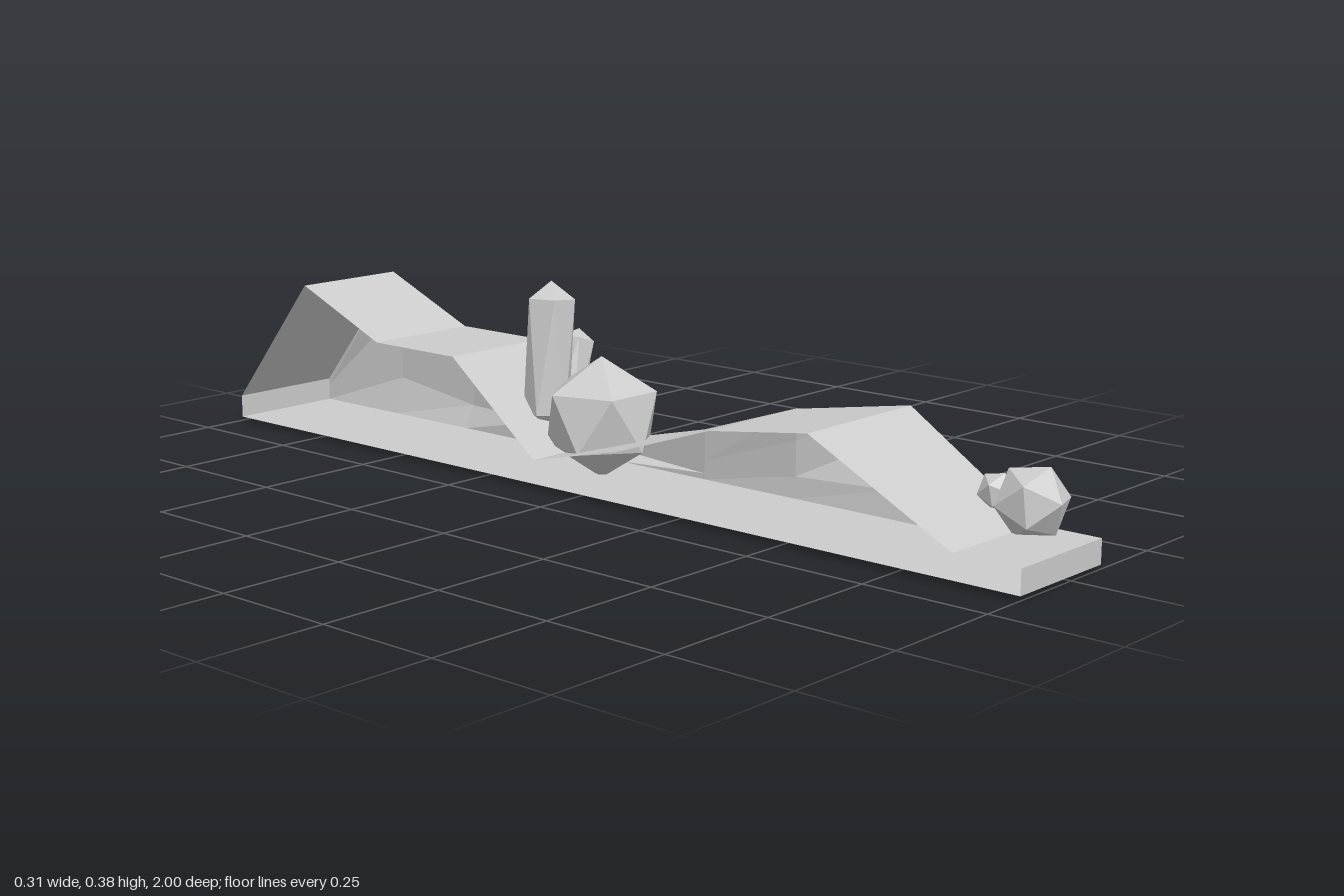
import * as THREE from 'three';

const material = () => new THREE.MeshStandardMaterial({
  color: 0xcccccc, flatShading: true, side: THREE.DoubleSide,
});

const LEFT = -0.155, RIGHT = 0.095, BASE = 0.008;

// Sections from front to back: z, top edge [x, y], then two bulging side points [x, y]
const SECTIONS = [
  [1, [0.095, 0.055], [0.095, 0.04], [0.095, 0.022]],
  [0.865, [0.095, 0.055], [0.097, 0.04], [0.097, 0.022]],
  [0.556, [0.153, 0.212], [0.153, 0.163], [0.105, 0.06]],
  [0.333, [0.095, 0.182], [0.1, 0.12], [0.1, 0.05]],
  [0.111, [0.095, 0.108], [0.095, 0.045], [0.095, 0.02]],
  [-0.111, [0.095, 0.055], [0.128, 0.043], [0.128, 0.02]],
  [-0.333, [0.095, 0.23], [0.095, 0.15], [0.095, 0.055]],
  [-0.556, [0.095, 0.23], [0.119, 0.2], [0.117, 0.055]],
  [-0.778, [0.095, 0.323], [0.119, 0.245], [0.117, 0.085]],
  [-1, [0.095, 0.055], [0.095, 0.04], [0.095, 0.022]],
];

// Uneven ground strip: top, rocky right side, bottom and ends; the left side is open
function groundGeometry() {
  const rings = SECTIONS.map(([z, top, upper, lower]) => [
    [LEFT, top[1]], top, upper, lower, [RIGHT, BASE], [LEFT, BASE],
  ].map(([x, y]) => [x, y, z]));
  const points = rings.flat(2);
  const index = [];
  const n = 6, last = (rings.length - 1) * n;
  for (let s = 0; s < rings.length - 1; s++) {
    for (let k = 0; k < n - 1; k++) {
      const a = s * n + k, b = a + 1, c = b + n, d = a + n;
      index.push(a, b, c, a, c, d);
    }
  }
  for (let k = 1; k < n - 1; k++) {
    index.push(0, k + 1, k, last, last + k, last + k + 1);
  }
  const geometry = new THREE.BufferGeometry();
  geometry.setAttribute('position', new THREE.Float32BufferAttribute(points, 3));
  geometry.setIndex(index);
  const flat = geometry.toNonIndexed();
  flat.computeVertexNormals();
  return flat;
}

// Icosahedron standing on a corner
function boulderGeometry(radius) {
  return new THREE.IcosahedronGeometry(radius, 0).rotateZ(-0.5536);
}

// Boulder drawn out into a long shaft with short pointed tips
function crystalGeometry(radius, halfLength, tip) {
  const geometry = boulderGeometry(radius);
  const p = geometry.attributes.position;
  for (let i = 0; i < p.count; i++) {
    const y = p.getY(i);
    const isTip = Math.abs(y) > radius * 0.8;
    p.setY(i, Math.sign(y) * (isTip ? halfLength : halfLength - tip));
  }
  geometry.computeVertexNormals();
  return geometry;
}

export function createModel() {
  const group = new THREE.Group();
  const add = (name, geometry, position = [0, 0, 0], rotation = [0, 0, 0]) => {
    const mesh = new THREE.Mesh(geometry, material());
    mesh.name = name;
    mesh.position.set(...position);
    mesh.rotation.set(...rotation);
    group.add(mesh);
  };

  add('ground', groundGeometry());

  // Boulders
  add('largeBoulder', boulderGeometry(0.122), [-0.004, 0.122, -0.07], [0, 0.3, 0]);
  add('frontBoulder', boulderGeometry(0.07), [0.038, 0.112, 0.895], [1.45, 0, 0.2]);
  add('frontPebble', boulderGeometry(0.037), [0.057, 0.113, 0.812], [0.4, 0.5, 0]);

  // Crystals behind the large boulder
  add('tallCrystal', crystalGeometry(0.054, 0.15, 0.035), [-0.02, 0.23, -0.197], [0, 0.3, -0.08]);
  add('shortCrystal', crystalGeometry(0.039, 0.105, 0.022), [0.045, 0.172, -0.202], [0, 0.2, -0.35]);

  return group;
}
